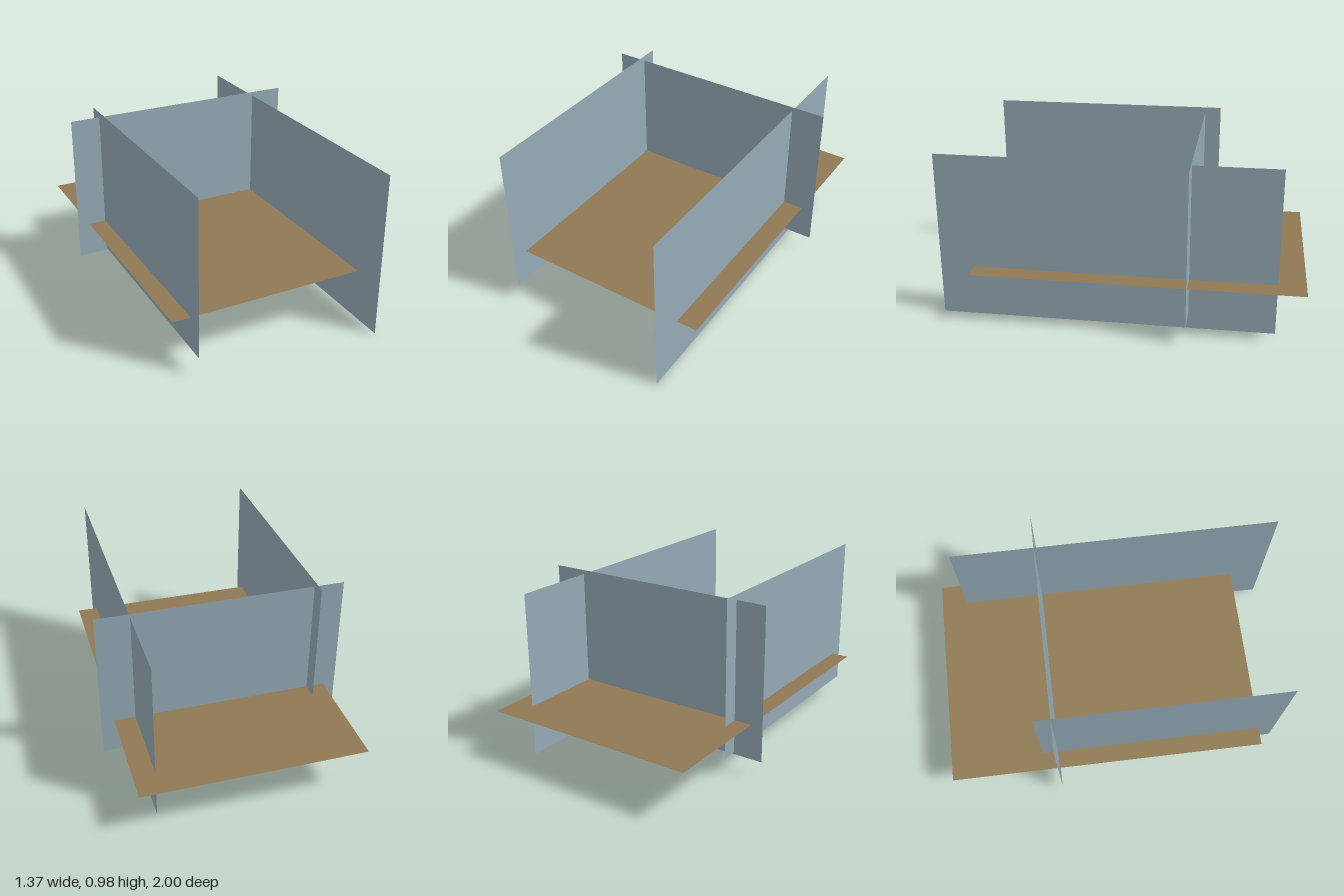
import * as THREE from 'three';

export function createModel() {
  const group = new THREE.Group();
  const blue = new THREE.MeshStandardMaterial({ color: 0x95aab5, side: THREE.DoubleSide });
  blue.name = 'greyBlue';
  const brown = new THREE.MeshStandardMaterial({ color: 0x8f7853, side: THREE.DoubleSide });
  brown.name = 'woodBrown';

  // Flat sheet of the given size, turned and placed by its centre
  function sheet(name, material, width, height, position, rotX = 0, rotY = 0) {
    const mesh = new THREE.Mesh(new THREE.PlaneGeometry(width, height), material);
    mesh.name = name;
    mesh.rotation.set(rotX, rotY, 0);
    mesh.position.set(...position);
    group.add(mesh);
  }

  // Horizontal floor, crossing all the upright panels
  sheet('floor', brown, 1.225, 1.81, [-0.0025, 0.289, -0.095], -Math.PI / 2);

  // Upright side panels: the left one is longer and reaches the ground
  sheet('leftPanel', blue, 1.85, 0.93, [0.492, 0.465, 0.075], 0, Math.PI / 2);
  sheet('rightPanel', blue, 1.375, 0.88, [-0.515, 0.542, 0.215], 0, -Math.PI / 2);

  // Upright cross panel towards the back
  sheet('backPanel', blue, 1.365, 0.863, [-0.0015, 0.521, -0.38]);

  return group;
}
